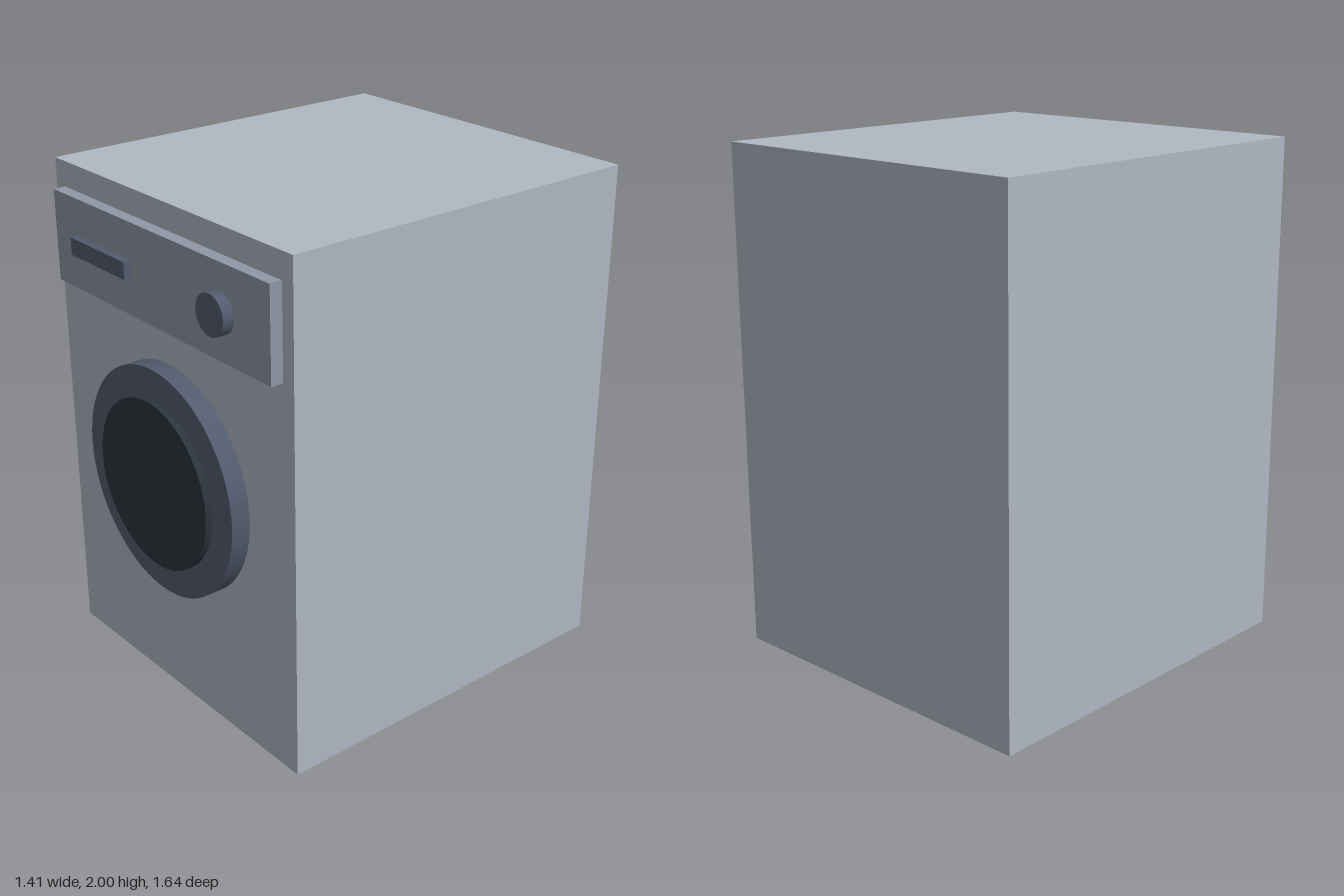
import * as THREE from 'three';

const FRONT = 0.713; // z of the cabinet's front face
const BACK = -0.818;

const material = (color) => new THREE.MeshStandardMaterial({ color });

// Box spanning two z planes
function block(name, w, h, x, y, z0, z1, mat) {
  const mesh = new THREE.Mesh(new THREE.BoxGeometry(w, h, z1 - z0), mat);
  mesh.position.set(x, y, (z0 + z1) / 2);
  mesh.name = name;
  return mesh;
}

// Round disc facing the front, spanning two z planes
function disc(name, r, x, y, z0, z1, mat, sides = 64) {
  const geometry = new THREE.CylinderGeometry(r, r, z1 - z0, sides).rotateX(Math.PI / 2);
  const mesh = new THREE.Mesh(geometry, mat);
  mesh.position.set(x, y, (z0 + z1) / 2);
  mesh.name = name;
  return mesh;
}

export function createModel() {
  const group = new THREE.Group();
  group.name = 'washingMachine';

  const shell = material(0xb0b8c2);
  const panel = material(0x8f97a6);
  const trim = material(0x525b6d);
  const glass = material(0x2c343d);

  group.add(
    // Cabinet
    block('cabinet', 1.41, 2, 0, 1, BACK, FRONT, shell),
    // Control panel with its display and dial
    block('controlPanel', 1.296, 0.355, 0, 1.723, FRONT - 0.02, 0.762, panel),
    block('display', 0.35, 0.067, -0.325, 1.724, 0.74, 0.792, trim),
    disc('dial', 0.077, 0.38, 1.724, 0.74, 0.807, trim, 48),
    // Round door: rim and window
    disc('doorRim', 0.45, 0, 0.943, FRONT - 0.02, 0.79, trim),
    disc('doorWindow', 0.333, 0, 0.943, 0.76, 0.818, glass)
  );
  return group;
}
